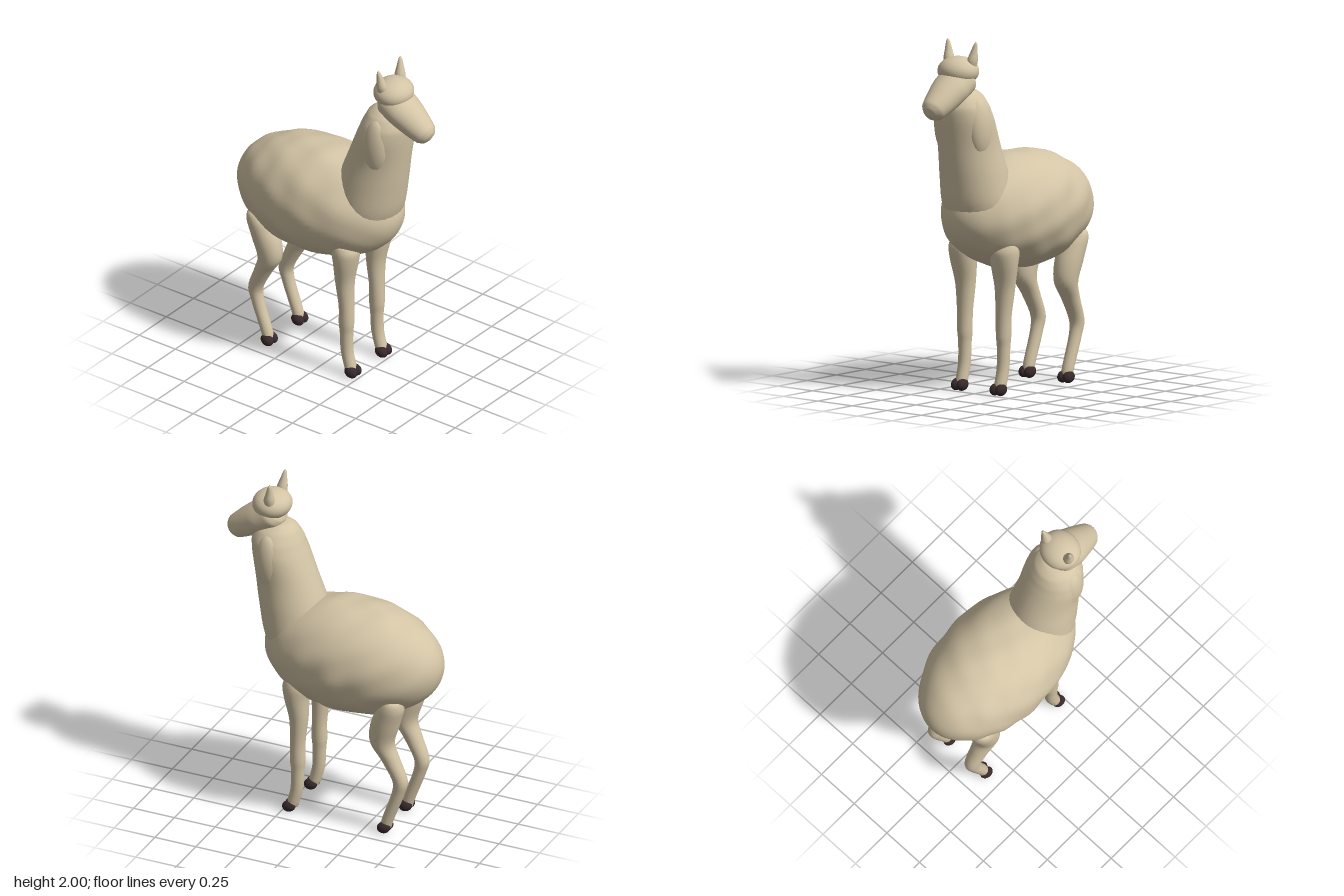
import * as THREE from 'three';
import { mergeVertices } from 'three/addons/utils/BufferGeometryUtils.js';

const wool = new THREE.MeshStandardMaterial({ color: 0xd3c4a5 });
wool.name = 'wool';
const hoofColor = new THREE.MeshStandardMaterial({ color: 0x38292c });
hoofColor.name = 'hoof';

// Smooth skin through elliptical rings [x, y, z, radiusX, radiusZ], listed from low y to high y
function loft(sections, rows = 40, sides = 28) {
  const centres = new THREE.CatmullRomCurve3(sections.map(s => new THREE.Vector3(s[0], s[1], s[2])));
  const radii = new THREE.CatmullRomCurve3(sections.map(s => new THREE.Vector3(s[3], s[4], 0)));
  const positions = [], index = [];
  for (let i = 0; i <= rows; i++) {
    const c = centres.getPoint(i / rows), r = radii.getPoint(i / rows);
    const rx = Math.max(r.x, 0.0005), rz = Math.max(r.y, 0.0005);
    for (let j = 0; j < sides; j++) {
      const a = (j / sides) * Math.PI * 2;
      positions.push(c.x + rx * Math.cos(a), c.y, c.z + rz * Math.sin(a));
      if (i === rows) continue;
      const p = i * sides + j, q = i * sides + (j + 1) % sides;
      index.push(p, p + sides, q, q, p + sides, q + sides);
    }
  }
  const g = new THREE.BufferGeometry();
  g.setAttribute('position', new THREE.Float32BufferAttribute(positions, 3));
  g.setIndex(index);
  g.computeVertexNormals();
  return g;
}

// Ellipsoid body with a gently lumpy fleece
function fleece() {
  let g = new THREE.SphereGeometry(1, 72, 48);
  g.rotateX(Math.PI / 2);
  g.deleteAttribute('uv');
  g.deleteAttribute('normal');
  g = mergeVertices(g, 1e-4);
  const pos = g.attributes.position, v = new THREE.Vector3();
  for (let i = 0; i < pos.count; i++) {
    v.fromBufferAttribute(pos, i);
    const fade = Math.max(0, 1 - v.z * v.z);
    const lump = Math.sin(v.z * 11 + v.y * 5 + Math.sin(v.x * 4) * 1.5) * Math.sin(v.y * 7 + v.x * 6 - v.z * 3)
      + 0.5 * Math.sin(v.z * 17 - v.x * 5 + v.y * 4);
    v.multiplyScalar(1 + 0.015 * lump * fade);
    pos.setXYZ(i, v.x * 0.327, v.y * 0.328, v.z * 0.528);
  }
  g.computeVertexNormals();
  return g;
}

export function createModel() {
  const model = new THREE.Group();
  const add = (name, geometry, material = wool, position = [0, 0, 0]) => {
    const mesh = new THREE.Mesh(geometry, material);
    mesh.name = name;
    mesh.position.set(...position);
    model.add(mesh);
    return mesh;
  };
  const ellipsoid = (name, radii, position, material = wool) => {
    const mesh = add(name, new THREE.SphereGeometry(1, 32, 24), material, position);
    mesh.scale.set(...radii);
    return mesh;
  };

  add('body', fleece(), wool, [0, 1.0, -0.117]);

  // Neck, leaning forward and rounded off behind the head
  add('neck', loft([
    [0, 0.95, 0.2, 0.18, 0.17],
    [0, 1.1, 0.227, 0.2, 0.197],
    [0, 1.25, 0.255, 0.188, 0.195],
    [0, 1.4, 0.293, 0.172, 0.178],
    [0, 1.55, 0.333, 0.172, 0.158],
    [0, 1.63, 0.351, 0.156, 0.144],
    [0, 1.69, 0.353, 0.118, 0.115],
    [0, 1.725, 0.345, 0.065, 0.06],
    [0, 1.735, 0.345, 0, 0],
  ]));

  // Head with tapering muzzle, lofted along its own axis from the nose backwards
  const head = add('head', loft([
    [0, -0.03, -0.005, 0, 0],
    [0, -0.018, -0.005, 0.04, 0.042],
    [0, 0.01, -0.005, 0.068, 0.066],
    [0, 0.06, -0.005, 0.084, 0.077],
    [0, 0.13, -0.004, 0.1, 0.087],
    [0, 0.2, -0.004, 0.113, 0.092],
    [0, 0.28, -0.004, 0.113, 0.094],
    [0, 0.32, -0.004, 0.085, 0.075],
    [0, 0.34, -0.004, 0, 0],
  ]), wool, [0, 1.63, 0.62]);
  head.rotation.x = -0.99;

  ellipsoid('woolCap', [0.12, 0.082, 0.11], [0, 1.831, 0.387]);

  for (const s of [1, -1]) {
    const side = s > 0 ? 'left' : 'right';

    // Raised wool on each side of the neck
    const tuft = ellipsoid(side + 'NeckTuft', [0.062, 0.175, 0.085], [s * 0.116, 1.51, 0.345]);
    tuft.rotation.x = 0.1;

    add(side + 'Ear', loft([
      [s * 0.078, 1.85, 0.367, 0.026, 0.028],
      [s * 0.084, 1.89, 0.367, 0.03, 0.031],
      [s * 0.092, 1.94, 0.362, 0.021, 0.02],
      [s * 0.1, 1.985, 0.357, 0.011, 0.009],
      [s * 0.102, 2.0, 0.356, 0, 0],
    ], 24, 18));

    add(side + 'FrontLeg', loft([
      [s * 0.14, 0.03, 0.2, 0.03, 0.03],
      [s * 0.14, 0.06, 0.192, 0.035, 0.035],
      [s * 0.14, 0.15, 0.17, 0.035, 0.036],
      [s * 0.14, 0.27, 0.165, 0.037, 0.038],
      [s * 0.14, 0.33, 0.165, 0.042, 0.044],
      [s * 0.14, 0.43, 0.165, 0.045, 0.042],
      [s * 0.143, 0.6, 0.157, 0.06, 0.053],
      [s * 0.148, 0.73, 0.167, 0.08, 0.069],
      [s * 0.15, 0.8, 0.167, 0.085, 0.079],
      [s * 0.15, 0.85, 0.165, 0.075, 0.06],
      [s * 0.15, 0.88, 0.165, 0, 0],
    ]));

    add(side + 'HindLeg', loft([
      [s * 0.14, 0.03, -0.375, 0.03, 0.03],
      [s * 0.14, 0.08, -0.386, 0.034, 0.034],
      [s * 0.14, 0.26, -0.45, 0.036, 0.037],
      [s * 0.14, 0.335, -0.463, 0.042, 0.043],
      [s * 0.145, 0.47, -0.405, 0.052, 0.054],
      [s * 0.15, 0.57, -0.358, 0.066, 0.07],
      [s * 0.155, 0.69, -0.378, 0.078, 0.083],
      [s * 0.16, 0.79, -0.412, 0.08, 0.078],
      [s * 0.165, 0.85, -0.43, 0.066, 0.055],
      [s * 0.165, 0.885, -0.432, 0, 0],
    ]));

    // Cloven hooves, two toes each
    for (const [leg, z] of [['Front', 0.21], ['Hind', -0.37]]) {
      for (const toe of [-1, 1]) {
        const hoof = ellipsoid(side + leg + 'Toe', [0.029, 0.033, 0.04],
          [s * 0.14 + toe * 0.02, 0.036, z], hoofColor);
        hoof.rotation.x = 0.35;
      }
    }
  }
  return model;
}
